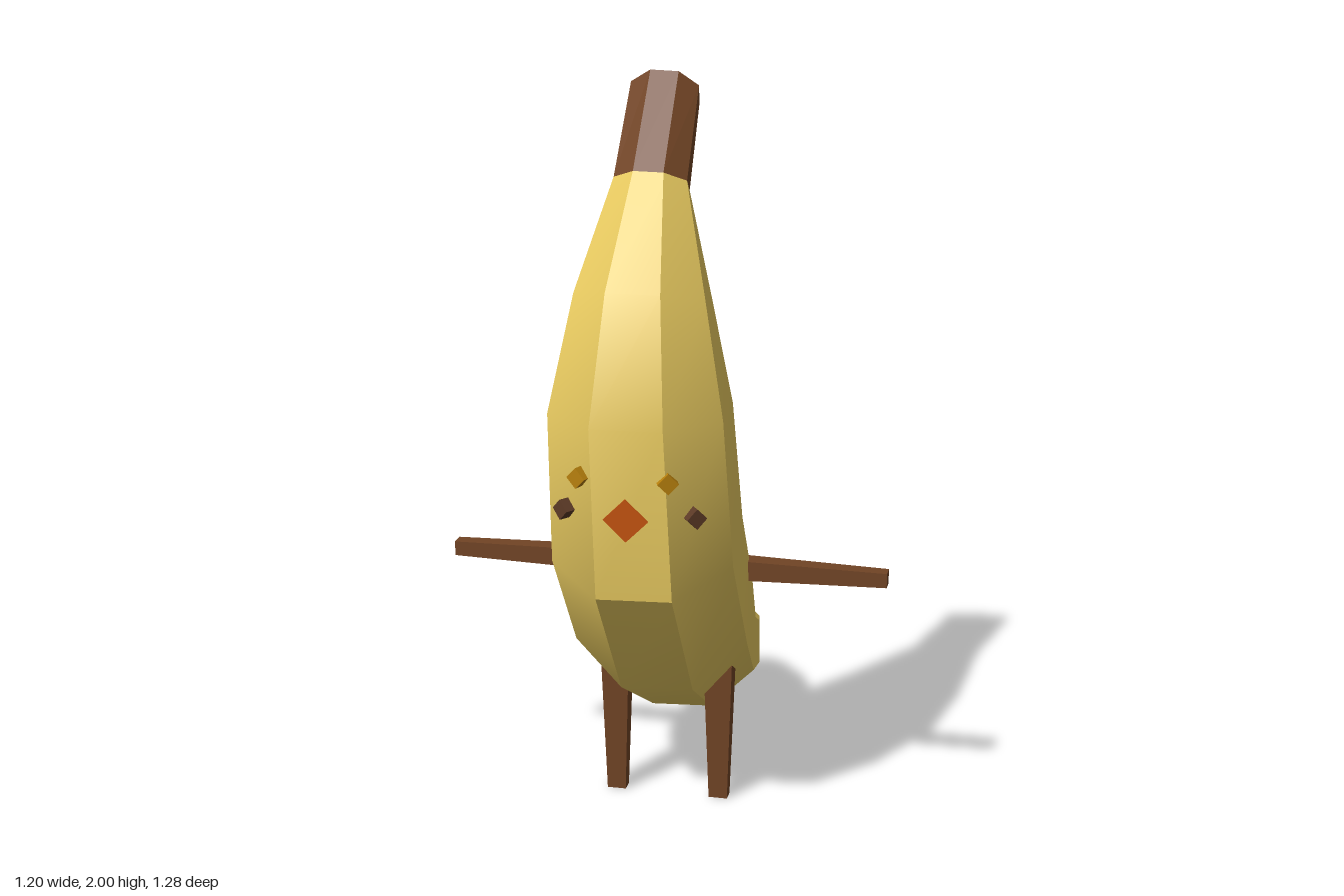
import * as THREE from 'three';
import { toCreasedNormals } from 'three/addons/utils/BufferGeometryUtils.js';

const SIDES = 8;
const ROLL = THREE.MathUtils.degToRad(3);

// Each station: [outer z, outer y, inner z, inner y, half width, centre x]
const STEM = [
  [0.13, 2.0, 0.073, 1.88, 0.09, -0.025],
  [0.33, 1.77, 0.21, 1.69, 0.095, -0.022],
];
const BODY = [
  STEM[1],
  [0.535, 1.5, 0.23, 1.42, 0.168, -0.018],
  [0.64, 1.18, 0.22, 1.18, 0.225, -0.015],
  [0.6, 0.72, 0.18, 0.91, 0.238, -0.008],
  [0.36, 0.38, 0.07, 0.73, 0.236, -0.005],
  [0.05, 0.2, -0.12, 0.52, 0.203, -0.003],
  [-0.26, 0.115, -0.33, 0.41, 0.166, 0],
  [-0.46, 0.1, -0.51, 0.335, 0.135, -0.003],
  [-0.618, 0.14, -0.637, 0.235, 0.08, 0],
];

// Octagon with a flat side facing the outer curve
function ringPoint([oz, oy, iz, iy, w, cx], k) {
  const a = ((k + 0.5) / SIDES) * Math.PI * 2;
  const r = 1 / Math.cos(Math.PI / SIDES);
  const s = r * Math.sin(a + ROLL), c = r * Math.cos(a + ROLL);
  return [cx + w * s, (oy + iy) / 2 + ((oy - iy) / 2) * c, (oz + iz) / 2 + ((oz - iz) / 2) * c];
}

// Skin through the stations, with optional end caps
function loft(stations, { start = false, end = false, crease = 0.5 } = {}) {
  const pos = [];
  const tri = (a, b, c) => pos.push(...a, ...b, ...c);
  const last = stations[stations.length - 1];
  for (let k = 0; k < SIDES; k++) {
    for (let i = 0; i < stations.length - 1; i++) {
      const a = ringPoint(stations[i], k), b = ringPoint(stations[i], k + 1);
      const c = ringPoint(stations[i + 1], k), d = ringPoint(stations[i + 1], k + 1);
      tri(a, c, b);
      tri(b, c, d);
    }
    if (k > 0 && k < SIDES - 1) {
      if (start) tri(ringPoint(stations[0], 0), ringPoint(stations[0], k), ringPoint(stations[0], k + 1));
      if (end) tri(ringPoint(last, 0), ringPoint(last, k + 1), ringPoint(last, k));
    }
  }
  const g = new THREE.BufferGeometry();
  g.setAttribute('position', new THREE.Float32BufferAttribute(pos, 3));
  return toCreasedNormals(g, crease);
}

// Square peg along y, tapered from top to bottom
function peg(topSide, bottomSide, length) {
  const q = Math.SQRT1_2;
  return new THREE.CylinderGeometry(topSide * q, bottomSide * q, length, 4).rotateY(Math.PI / 4);
}

export function createModel() {
  const model = new THREE.Group();
  const mat = (color) => new THREE.MeshStandardMaterial({ color, flatShading: true });
  const yellow = new THREE.MeshStandardMaterial({ color: 0xe8ca60 });
  const brown = mat(0x714425), gold = mat(0xb8800c), orange = mat(0xc95510), dark = mat(0x5c3a26);

  const add = (name, geometry, material, x = 0, y = 0, z = 0) => {
    const mesh = new THREE.Mesh(geometry, material);
    mesh.name = name;
    mesh.position.set(x, y, z);
    model.add(mesh);
    return mesh;
  };

  // Curved fruit body, stem and tail tip
  add('body', loft(BODY), yellow);
  add('stem', loft(STEM, { start: true }), brown);
  add('tailTip', loft([BODY[BODY.length - 1]], { end: true }), brown);

  for (const s of [1, -1]) {
    const side = s > 0 ? 'left' : 'right';

    // Arms reach straight out to the sides
    const arm = add(side + 'Arm', peg(0.04, 0.057, 0.45), brown, s * 0.375, 0.68, 0.19);
    arm.rotation.z = -s * Math.PI / 2;

    // Legs taper down to the ground
    const leg = add(side + 'Leg', peg(0.08, 0.052, 0.42), brown, s * 0.145, 0.21, 0.19);
    leg.scale.z = 0.72;

    // Diamond eyes and cheeks
    const eye = add(side + 'Eye', new THREE.BoxGeometry(0.038, 0.038, 0.04), gold,
      -0.016 + s * 0.112, 1.047, 0.615);
    eye.rotation.set(0, s * 0.35, Math.PI / 4);
    const cheek = add(side + 'Cheek', new THREE.BoxGeometry(0.038, 0.038, 0.04), dark,
      -0.012 + s * 0.167, 0.945, 0.568);
    cheek.rotation.set(0, s * 0.6, Math.PI / 4);
  }

  // Diamond beak
  const beak = add('beak', new THREE.BoxGeometry(0.082, 0.082, 0.03), orange, -0.01, 0.942, 0.609);
  beak.rotation.set(0.08, 0, Math.PI / 4);

  return model;
}
